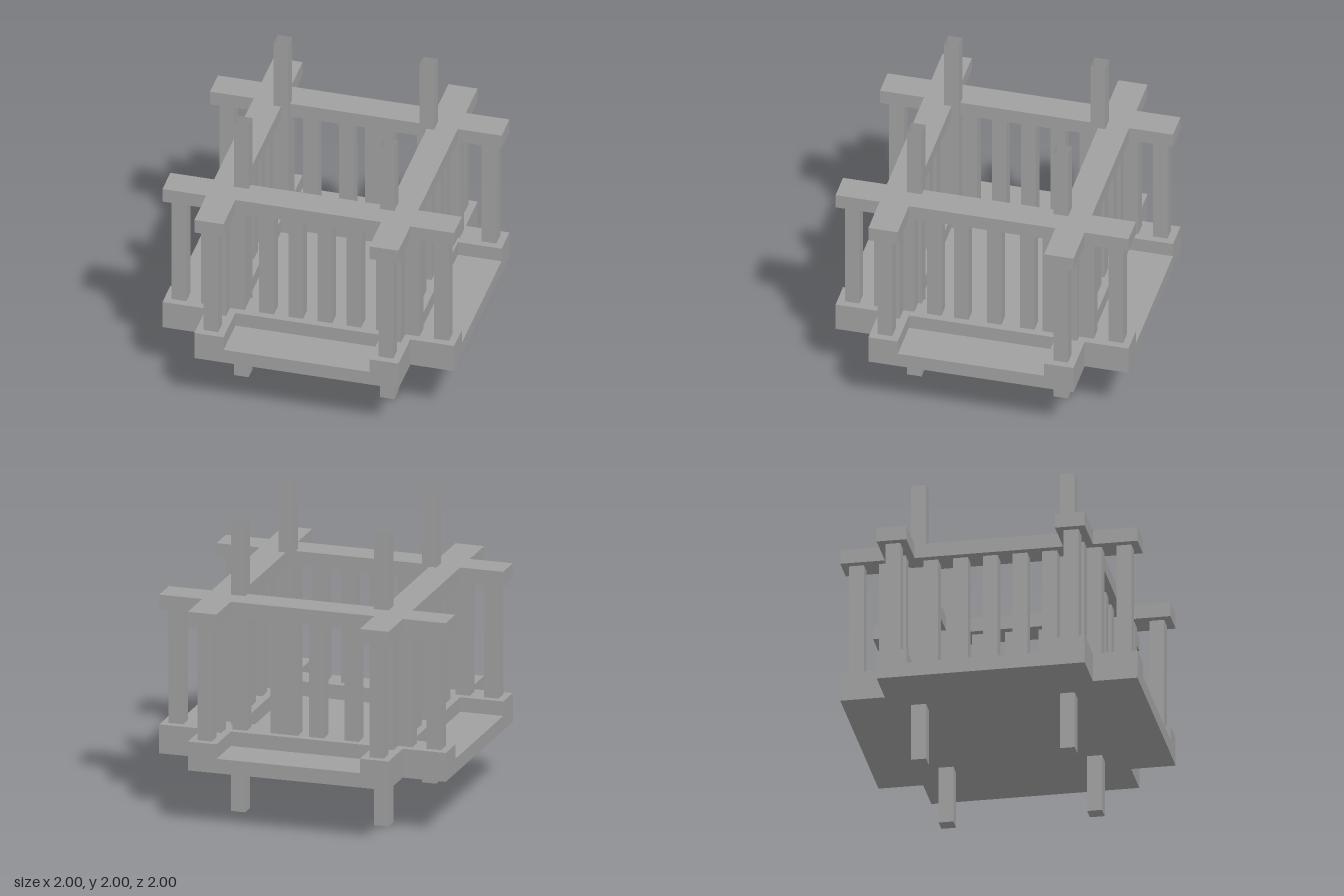
import * as THREE from 'three';

const material = new THREE.MeshStandardMaterial({ color: 0xa0a0a0, flatShading: true, side: THREE.DoubleSide });

// Repeats one corner's outline around the four corners.
function fourfold(corner) {
  const points = [];
  for (let i = 0; i < 4; i++) {
    for (const [x, y] of corner) {
      points.push(new THREE.Vector2(x, y).rotateAround(new THREE.Vector2(), i * Math.PI / 2));
    }
  }
  return points;
}

// Horizontal plate from an outline, lying between bottom and bottom + height.
function plate(shape, bottom, height) {
  const geometry = new THREE.ExtrudeGeometry(shape, { depth: height, bevelEnabled: false });
  geometry.rotateX(-Math.PI / 2);
  geometry.translate(0, bottom, 0);
  return geometry;
}

export function createModel() {
  const model = new THREE.Group();
  model.name = 'railedPlatform';
  const add = (geometry, name, parent = model) => {
    const mesh = new THREE.Mesh(geometry, material);
    mesh.name = name;
    parent.add(mesh);
    return mesh;
  };

  // Floor slab with notched corners
  const slab = new THREE.Shape(fourfold([[1, 0.7], [0.7, 0.7], [0.7, 1]]));
  add(plate(slab, 0.4, 0.1), 'floorSlab');

  // Crossing rails, used for the raised curb and for the handrail
  const rails = new THREE.Shape(fourfold([
    [0.7, 0.5], [1, 0.5], [1, 0.7], [0.7, 0.7], [0.7, 1], [0.5, 1], [0.5, 0.7],
  ]));
  rails.holes.push(new THREE.Path(fourfold([[0.5, 0.5]]).reverse()));
  add(plate(rails, 0.5, 0.1), 'floorCurb');
  add(plate(rails, 1.4, 0.1), 'handrail');

  // Corner posts: solid up to the handrail, then a thin tube open at the top
  const shaft = new THREE.BoxGeometry(0.1, 1.5, 0.1);
  const tube = new THREE.CylinderGeometry(0.05 * Math.SQRT2, 0.05 * Math.SQRT2, 0.5, 4, 1, true);
  tube.rotateY(Math.PI / 4);
  for (const x of [-0.5, 0.5]) {
    for (const z of [-0.5, 0.5]) {
      const post = new THREE.Group();
      post.name = 'cornerPost';
      add(shaft, 'postShaft', post).position.y = 0.75;
      add(tube, 'postTube', post).position.y = 1.75;
      post.position.set(x, 0, z);
      model.add(post);
    }
  }

  // Balusters, placed a little differently along each side
  const bar = new THREE.BoxGeometry(0.1, 0.8, 0.1);
  const sides = {
    front: [-0.7, -0.5, -0.3, -0.1, 0.1, 0.3, 0.5, 0.7],
    back: [-0.7, -0.51, -0.325, -0.08, 0.1, 0.19, 0.455, 0.65],
    left: [-0.7, -0.45, -0.295, -0.07, 0.155, 0.34, 0.525, 0.7],
    right: [-0.7, -0.4, -0.2, 0, 0.2, 0.4, 0.7],
  };
  for (const [side, places] of Object.entries(sides)) {
    const row = new THREE.Group();
    row.name = side + 'Balusters';
    const offset = side === 'front' || side === 'left' ? 0.6 : -0.6;
    const alongX = side === 'front' || side === 'back';
    for (const p of [-0.9, ...places, 0.9]) {
      add(bar, 'baluster', row).position.set(alongX ? p : offset, 1, alongX ? offset : p);
    }
    model.add(row);
  }
  return model;
}
